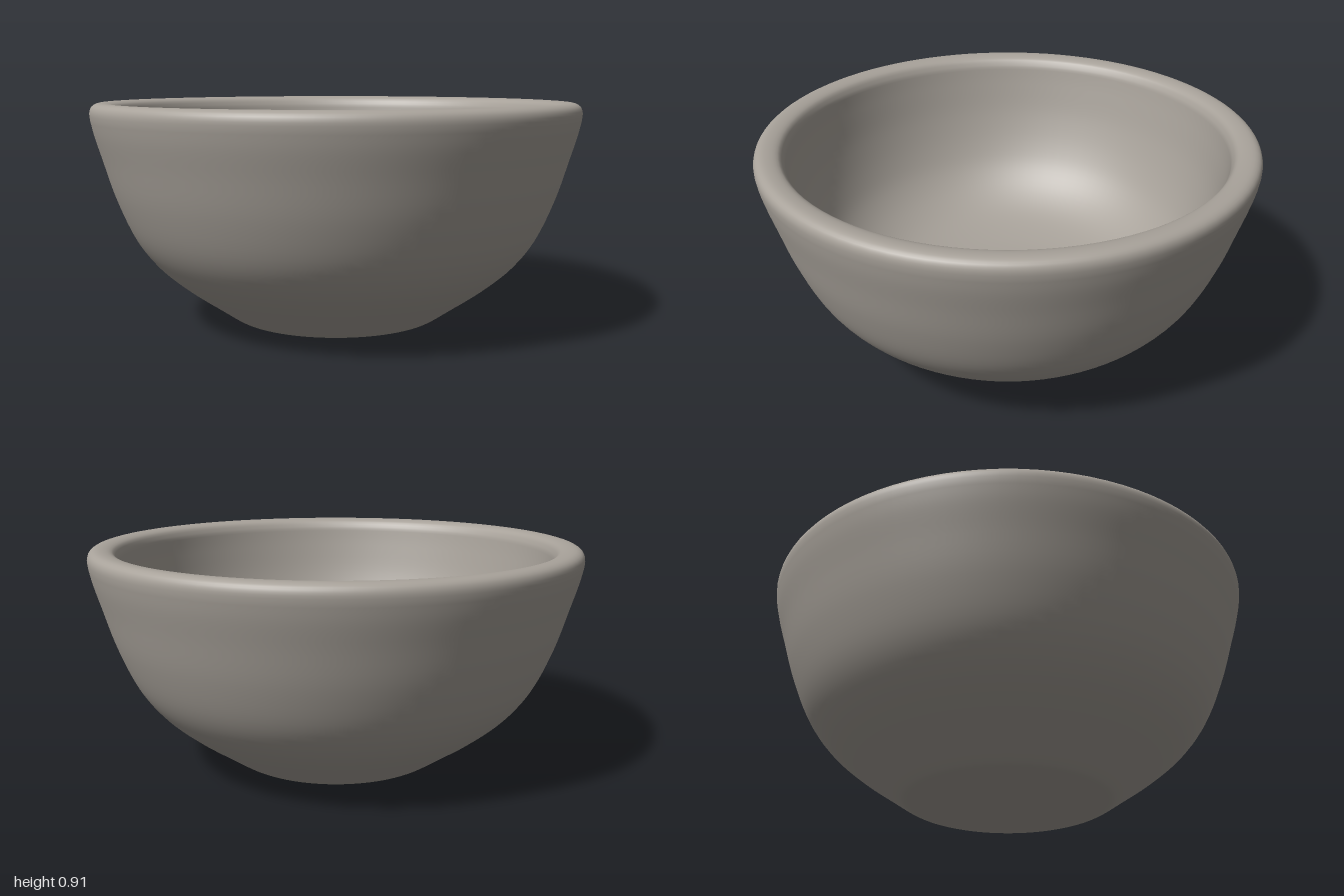
import * as THREE from 'three';

const SEGMENTS = 96;

// Smooth curve through a few [radius, height] points
function curve(points, divisions) {
  const spline = new THREE.SplineCurve(points.map(([r, y]) => new THREE.Vector2(r, y)));
  return spline.getPoints(divisions).map(p => new THREE.Vector2(Math.max(p.x, 0), p.y));
}

export function createModel() {
  const group = new THREE.Group();
  group.name = 'bowl';
  const stone = new THREE.MeshStandardMaterial({ color: 0xa8a29a });

  function addLathe(name, profile) {
    const mesh = new THREE.Mesh(new THREE.LatheGeometry(profile, SEGMENTS), stone);
    mesh.name = name;
    group.add(mesh);
  }

  // Slightly domed foot the bowl stands on
  addLathe('foot', curve([[0, 0], [0.2, 0.003], [0.41, 0.012]], 8));

  // Outer wall, rounded rim and hollow as one continuous profile
  const outer = curve([
    [0.41, 0.012], [0.44, 0.022], [0.53, 0.083], [0.64, 0.16], [0.75, 0.255],
    [0.835, 0.37], [0.905, 0.53], [0.955, 0.69], [0.982, 0.78], [0.996, 0.84],
  ], 45);
  const rim = curve([
    [0.996, 0.84], [0.999, 0.872], [0.99, 0.897], [0.965, 0.91], [0.925, 0.908], [0.897, 0.895], [0.882, 0.865],
  ], 18);
  const hollow = curve([
    [0.882, 0.865], [0.868, 0.78], [0.838, 0.64], [0.79, 0.5], [0.73, 0.39],
    [0.64, 0.3], [0.52, 0.235], [0.36, 0.2], [0.18, 0.188], [0, 0.185],
  ], 45);
  addLathe('wallAndRim', [...outer, ...rim.slice(1), ...hollow.slice(1)]);

  return group;
}
